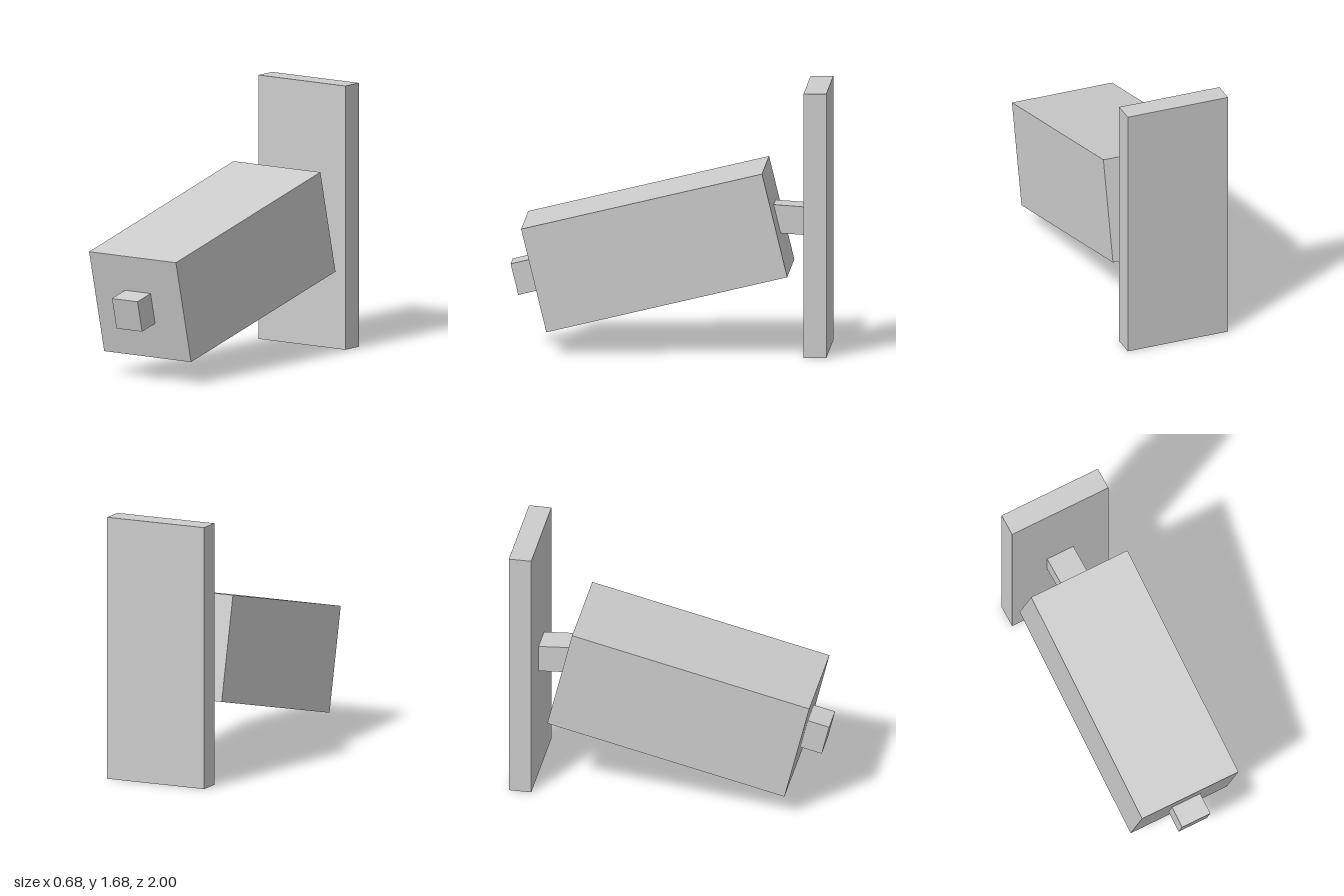
import * as THREE from 'three';

export function createModel() {
  const model = new THREE.Group();
  const grey = new THREE.MeshStandardMaterial({ color: 0xcccccc });
  grey.name = 'light grey';

  const box = (name, parent, [w, h, d], [x, y, z]) => {
    const mesh = new THREE.Mesh(new THREE.BoxGeometry(w, h, d), grey);
    mesh.name = name;
    mesh.position.set(x, y, z);
    parent.add(mesh);
    return mesh;
  };

  // Upright wall plate at the back
  box('wallPlate', model, [0.68, 1.68, 0.143], [0, 0.84, -0.9285]);

  // Short arm, tipped slightly up, running from the plate into the housing
  const arm = box('mountArm', model, [0.185, 0.178, 0.36], [0, 0.838, -0.72]);
  arm.rotation.x = -0.066;

  // Camera head, nose tilted down
  const head = new THREE.Group();
  head.name = 'cameraHead';
  head.position.set(0, 0.656, 0.0825);
  head.rotation.x = 0.2377;
  model.add(head);
  const length = 1.559;
  box('housing', head, [0.68, 0.674, length], [0, 0, 0]);

  // Lens block centred on the front of the housing
  box('lens', head, [0.2, 0.203, 0.18], [0, 0, length / 2 + 0.051]);

  return model;
}
